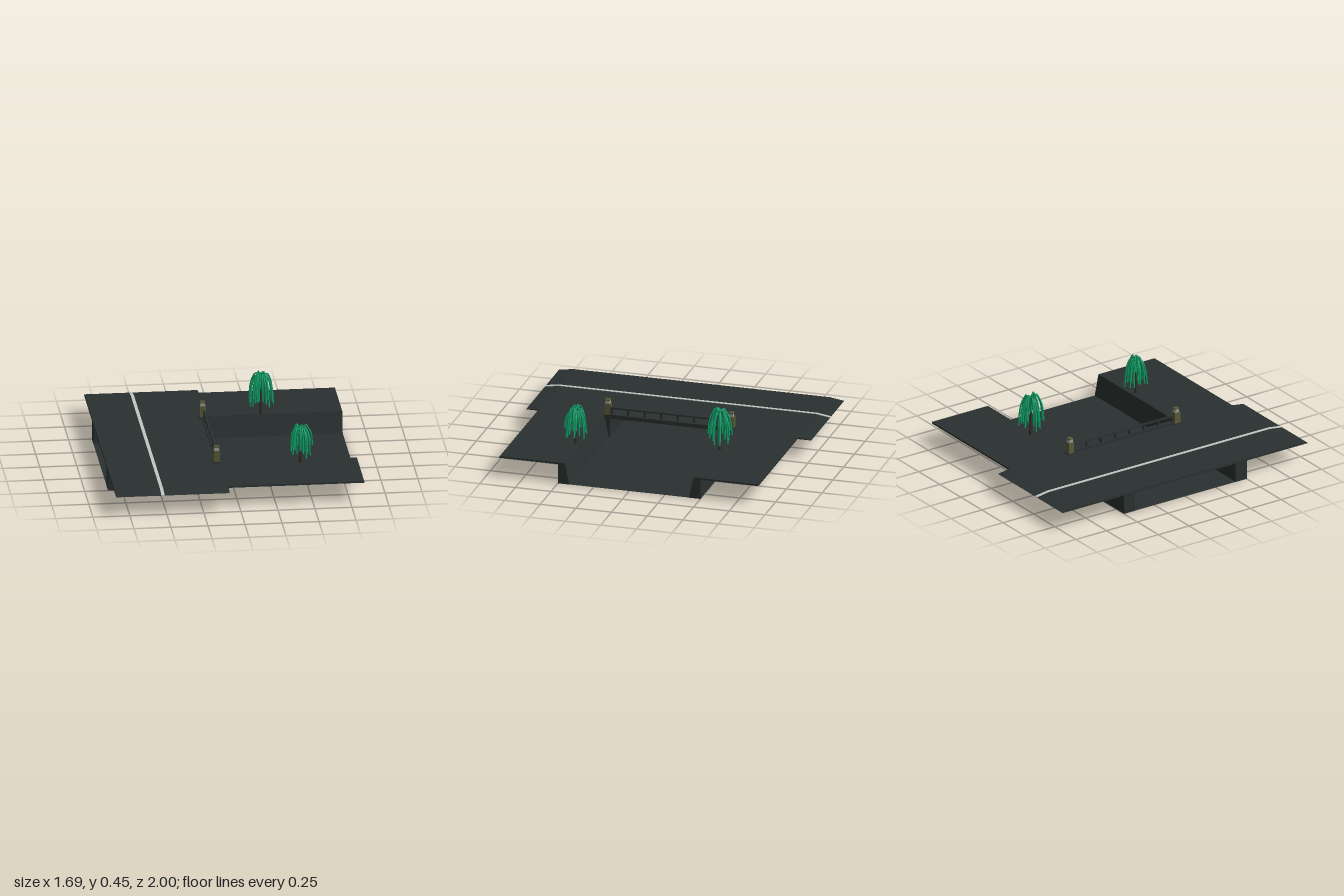
import * as THREE from 'three';

const mat = (name, color, side = THREE.FrontSide) => {
  const m = new THREE.MeshStandardMaterial({ color, side });
  m.name = name;
  return m;
};

export function createModel() {
  const root = new THREE.Group();
  const stone = mat('dark stone', 0x293130, THREE.DoubleSide);
  const paint = mat('road paint', 0xc0c8c4);
  const olive = mat('olive post', 0x5c5b39);
  const grey = mat('lamp grey', 0x9a9e9e);
  const bark = mat('bark', 0x352f26);
  const leaf = mat('willow leaf', 0x0fa06a);

  const add = (parent, name, geometry, material) => {
    const mesh = new THREE.Mesh(geometry, material);
    mesh.name = name;
    parent.add(mesh);
    return mesh;
  };
  // box given by its lower and upper limits on each axis
  const box = (parent, name, material, x0, x1, y0, y1, z0, z1) => {
    const mesh = add(parent, name, new THREE.BoxGeometry(x1 - x0, y1 - y0, z1 - z0), material);
    mesh.position.set((x0 + x1) / 2, (y0 + y1) / 2, (z0 + z1) / 2);
    return mesh;
  };
  // (z, y) profile swept along x from x0 to x1
  const sweep = (name, material, points, x0, x1) => {
    const shape = new THREE.Shape(points.map(([z, y]) => new THREE.Vector2(-z, y)));
    const geo = new THREE.ExtrudeGeometry(shape, { depth: x1 - x0, bevelEnabled: false });
    geo.rotateY(Math.PI / 2).translate(x0, 0, 0);
    return add(root, name, geo, material);
  };

  // road deck with sloping ends, and its painted line
  sweep('roadDeck', stone, [[-1, 0.135], [1, 0.135], [0.9, 0.15], [-0.9, 0.15]], -0.843, -0.075);
  sweep('roadLine', paint, [[-1, 0.134], [1, 0.134], [1, 0.139], [0.9, 0.153], [-0.9, 0.153], [-1, 0.139]], -0.537, -0.515);

  // river bed
  const bed = add(root, 'riverBed', new THREE.PlaneGeometry(1.686, 1), stone);
  bed.rotation.x = -Math.PI / 2;
  bed.position.y = 0.001;

  for (const s of [-1, 1]) {
    // banks, sloped channel walls and upright abutments beneath the road
    box(root, 'bank', stone, -0.075, 0.843, 0.138, 0.15, ...(s > 0 ? [0.45, 0.907] : [-0.907, -0.45]));
    sweep('channelWall', stone, [[s * 0.5, 0], [s * 0.42, 0], [s * 0.45, 0.149], [s * 0.5, 0.149]], -0.075, 0.843);
    box(root, 'abutment', stone, -0.843, -0.075, 0, 0.136, ...(s > 0 ? [0.41, 0.5] : [-0.5, -0.41]));

    // lamp post at each end of the railing
    const post = new THREE.Group();
    post.name = 'lampPost';
    post.position.set(-0.102, 0, s * 0.432);
    root.add(post);
    const tier = (name, m, half, y0, y1) => box(post, name, m, -half, half, y0, y1, -half, half);
    tier('postFoot', stone, 0.026, 0.135, 0.158);
    tier('postBody', olive, 0.021, 0.158, 0.235);
    tier('postLamp', grey, 0.015, 0.235, 0.256);
    tier('postCap', olive, 0.016, 0.256, 0.265);
  }

  // railing along the river side of the road
  box(root, 'railCurb', stone, -0.11, -0.073, 0.14, 0.163, -0.42, 0.42);
  box(root, 'handRail', stone, -0.103, -0.089, 0.2, 0.21, -0.42, 0.42);
  for (let i = 0; i < 8; i++) {
    const z = (i - 3.5) * 0.1155;
    box(root, 'baluster', stone, -0.103, -0.089, 0.16, 0.202, z - 0.007, z + 0.007);
  }

  // weeping willows: strands arch from the crown and hang down
  const willow = (x, z, height, spread, seed) => {
    const rand = () => (seed = (seed * 16807) % 2147483647) / 2147483647;
    const tree = new THREE.Group();
    tree.name = 'willow';
    tree.position.set(x, 0.15, z);
    root.add(tree);
    const trunk = add(tree, 'trunk', new THREE.CylinderGeometry(0.006, 0.012, height * 0.6, 8), bark);
    trunk.position.y = height * 0.3;
    const count = 28;
    for (let i = 0; i < count; i++) {
      const a = i * 2.4 + rand() * 0.5;
      const r = spread * (0.25 + 0.75 * Math.sqrt((i + 0.5) / count));
      const top = height * (0.98 - rand() * 0.12);
      const end = height * (0.15 + rand() * 0.3);
      const at = (k, y) => new THREE.Vector3(Math.cos(a) * r * k, y, Math.sin(a) * r * k);
      const curve = new THREE.CatmullRomCurve3([
        at(0.03, height * 0.55), at(0.2, top * 0.93), at(0.42, top),
        at(0.7, top * 0.87), at(0.88, (top + end) * 0.53), at(1, end),
      ]);
      add(tree, 'strand', new THREE.TubeGeometry(curve, 16, 0.0055, 8, false), leaf);
    }
  };
  willow(0.298, -0.475, 0.308, 0.088, 11);
  willow(0.46, 0.49, 0.277, 0.08, 47);

  return root;
}
